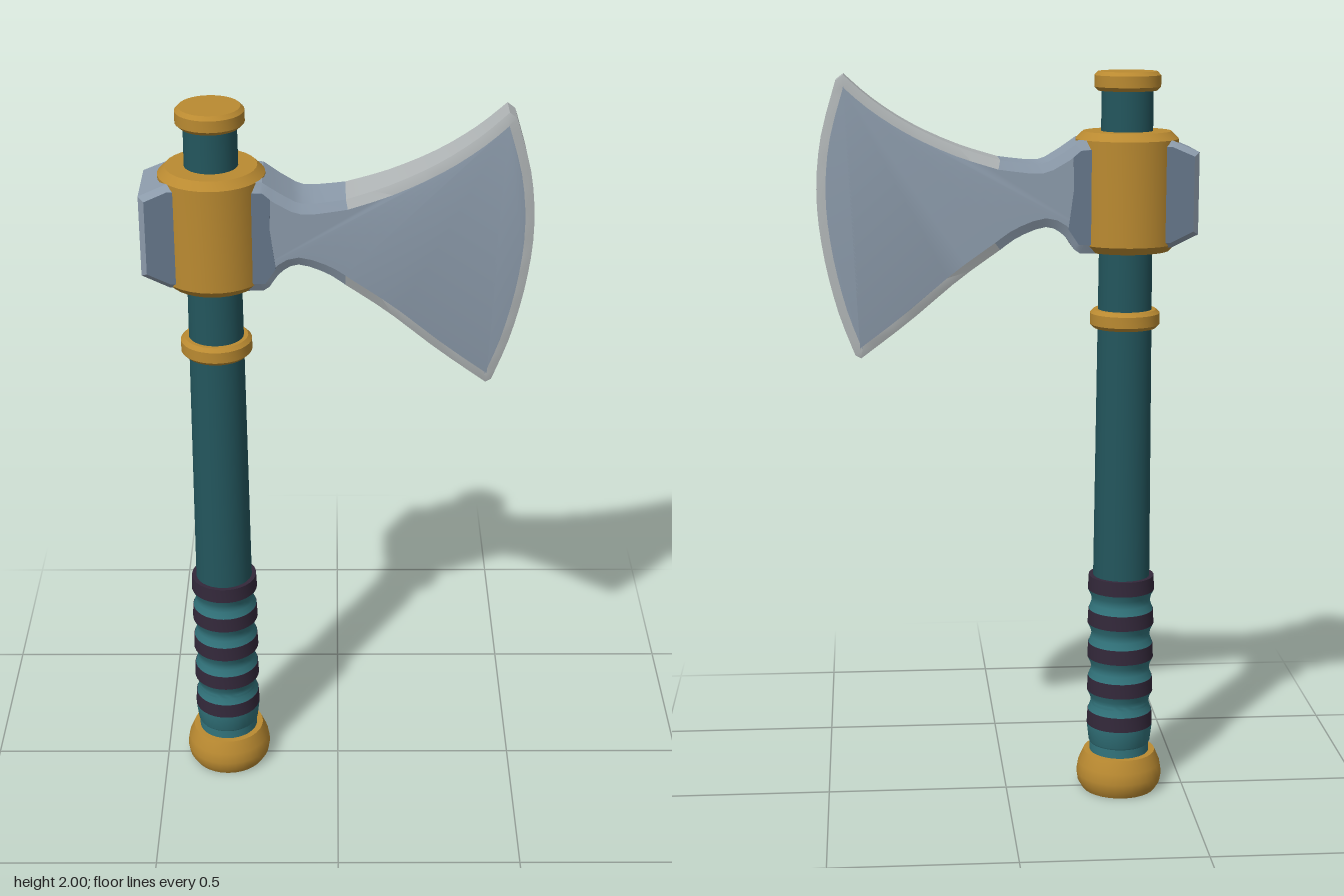
import * as THREE from 'three';
import { toCreasedNormals } from 'three/addons/utils/BufferGeometryUtils.js';

const material = (name, color) => {
  const m = new THREE.MeshStandardMaterial({ color });
  m.name = name;
  return m;
};

export function createModel() {
  const wood = material('dark teal shaft', 0x23565d);
  const wrap = material('teal grip', 0x32747c);
  const band = material('dark plum bands', 0x33283a);
  const gold = material('gold', 0xba8a31);
  const steel = material('blue steel', 0x8c9bab);
  const darkSteel = material('dark steel', 0x66778b);
  const silver = material('sharpened silver', 0xb2b7b8);

  const group = new THREE.Group();
  group.name = 'axe';
  const axis = -0.32;
  const v2 = (p) => new THREE.Vector2(p[0], p[1]);

  const add = (name, geometry, mat) => {
    const mesh = new THREE.Mesh(geometry, mat);
    mesh.name = name;
    group.add(mesh);
    return mesh;
  };
  // Turned part around the handle axis; profile runs bottom to top
  const turned = (name, profile, mat) => {
    const g = toCreasedNormals(new THREE.LatheGeometry(profile.map(v2), 32), 0.5);
    add(name, g, mat).position.x = axis;
  };
  // Chamfered gold disc or sleeve
  const ring = (name, y0, y1, r, c) => turned(name, [
    [0, y0], [r - c, y0], [r, y0 + c], [r, y1 - c], [r - c, y1], [0, y1],
  ], gold);

  // Handle
  turned('shaft', [[0, 0.1], [0.078, 0.1], [0.078, 0.62], [0.068, 1.97], [0, 1.97]], wood);
  turned('pommel', [
    [0, 0], [0.104, 0], [0.116, 0.02], [0.12, 0.045], [0.115, 0.075], [0.1, 0.11], [0, 0.11],
  ], gold);
  turned('gripBase', [[0.083, 0.1], [0.083, 0.135], [0.086, 0.14], [0.092, 0.19]], wrap);
  for (let i = 0; i < 5; i++) {
    const y = 0.19 + i * 0.0985;
    turned('gripBand', [[0.076, y], [0.092, y], [0.09, y + 0.041], [0.076, y + 0.041]], band);
    if (i < 4) {
      turned('gripWrap', [
        [0.089, y + 0.041], [0.082, y + 0.06], [0.081, y + 0.07], [0.084, y + 0.082], [0.092, y + 0.0985],
      ], wrap);
    }
  }
  ring('shaftRing', 1.32, 1.37, 0.094, 0.01);
  ring('topCap', 1.95, 2, 0.088, 0.01);
  ring('collar', 1.53, 1.845, 0.137, 0.02);

  // Head: bevelled slabs whose thickness tapers toward the cutting edge
  const halfThickness = (x) => 0.105 - (x + 0.48) * 0.0656;
  const taperedSlab = (points, bevel) => {
    const g = new THREE.ExtrudeGeometry(new THREE.Shape(points), {
      depth: 1.7, bevelThickness: 0.15, bevelSize: bevel, bevelOffset: -bevel, bevelSegments: 1,
    });
    g.translate(0, 0, -0.85);
    const p = g.attributes.position;
    for (let i = 0; i < p.count; i++) p.setZ(i, p.getZ(i) * halfThickness(p.getX(i)));
    return toCreasedNormals(g, 0.4);
  };
  const curve = (points, n) => new THREE.SplineCurve(points.map(v2)).getPoints(n);

  // Poll block behind the collar
  const poll = [[-0.5, 1.58], [-0.43, 1.545], [-0.3, 1.545], [-0.3, 1.825], [-0.43, 1.825], [-0.5, 1.795]];
  add('poll', taperedSlab(poll.map(v2), 0.015), [darkSteel, steel]);

  // Blade outline, counter-clockwise from the lower neck
  const outline = [
    ...[[-0.3, 1.53], [-0.19, 1.53]].map(v2),
    ...curve([[-0.175, 1.54], [-0.145, 1.58], [-0.1, 1.6], [-0.03, 1.575], [0.02, 1.54]], 10),
    ...curve([[0.02, 1.54], [0.13, 1.46], [0.26, 1.35], [0.39, 1.25]], 8).slice(1),
    ...curve([[0.405, 1.258], [0.45, 1.38], [0.485, 1.53], [0.5, 1.68], [0.487, 1.83], [0.445, 1.98]], 16),
    ...curve([[0.425, 1.995], [0.35, 1.93], [0.25, 1.865], [0.13, 1.81], [0.02, 1.775]], 12),
    ...curve([[0.02, 1.775], [-0.08, 1.765], [-0.13, 1.785], [-0.19, 1.825]], 8).slice(1),
    v2([-0.3, 1.83]),
  ];
  const blade = taperedSlab(outline, 0.024);
  // Cheeks and neck stay blue, the rim beyond the neck is silver
  const [cheeks, rim] = blade.groups.map((g) => ({ ...g }));
  const x = blade.attributes.position;
  blade.clearGroups();
  blade.addGroup(cheeks.start, cheeks.count, 0);
  for (let i = rim.start; i < rim.start + rim.count; i += 3) {
    const mid = (x.getX(i) + x.getX(i + 1) + x.getX(i + 2)) / 3;
    blade.addGroup(i, 3, mid < 0.02 ? 0 : 1);
  }
  add('blade', blade, [steel, silver]);

  // Dark socket plates where the neck meets the collar
  const plate = [[-0.25, 1.555], [-0.185, 1.555], [-0.158, 1.595], [-0.172, 1.7], [-0.17, 1.783], [-0.19, 1.8], [-0.25, 1.805]];
  for (const side of [1, -1]) {
    const g = new THREE.ExtrudeGeometry(new THREE.Shape(plate.map(v2)), { depth: 0.004, bevelEnabled: false });
    g.translate(0, 0, -0.002);
    const p = g.attributes.position;
    for (let i = 0; i < p.count; i++) p.setZ(i, p.getZ(i) + side * halfThickness(p.getX(i)));
    g.computeVertexNormals();
    add('socketPlate', g, darkSteel);
  }
  return group;
}
